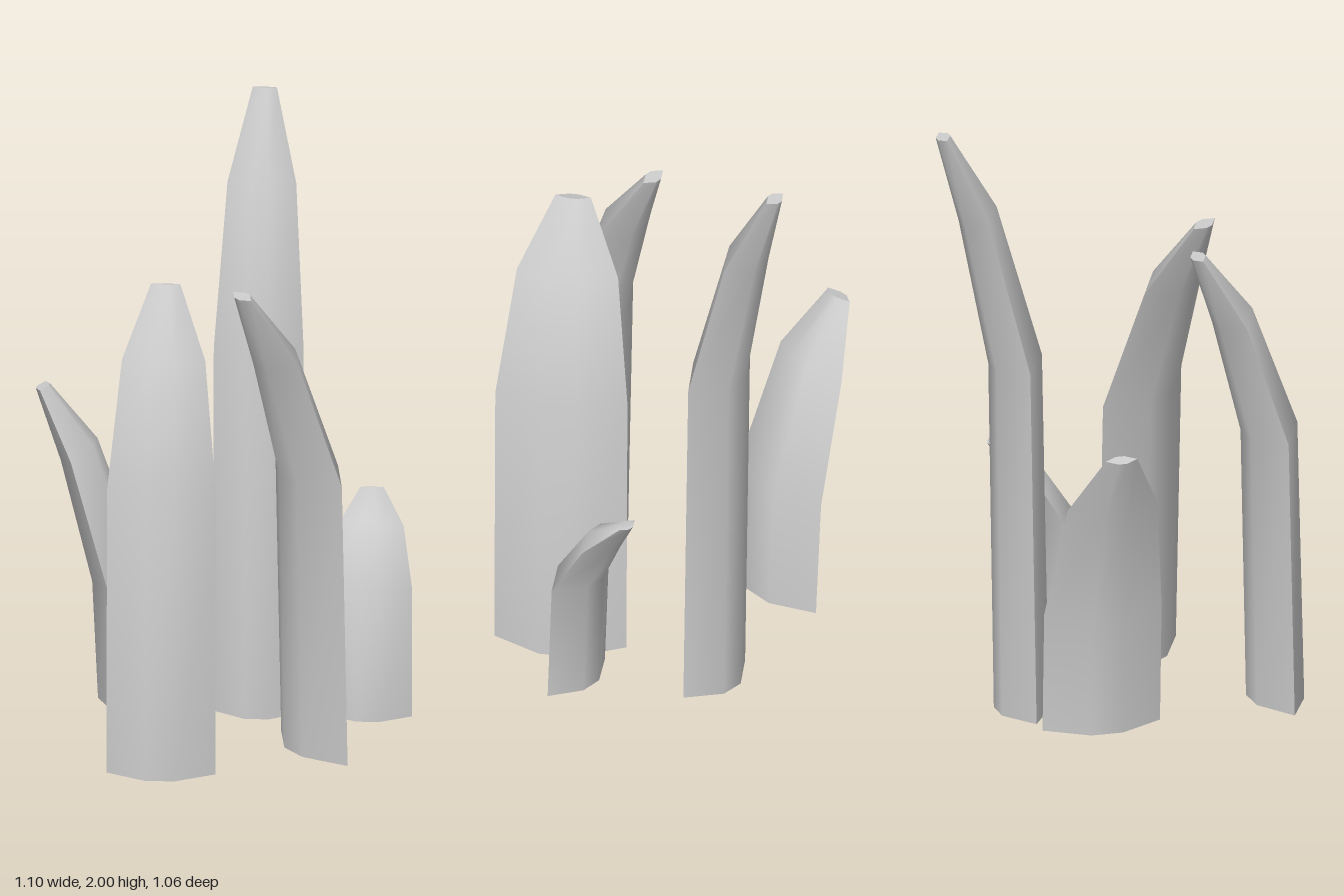
import * as THREE from 'three';
import { toCreasedNormals } from 'three/addons/utils/BufferGeometryUtils.js';

const TAPER = [1, 1, 0.765, 0.27]; // section size at base, knee, shoulder and tip
const LEAN = [0, 0.08, 0.557, 1]; // share of the reach at each section
const TILT = [0, 0.25, 0.5, 0.25]; // tipping of each section towards the bend

// Curved spike: six-sided lens sections lofted upwards, leaning towards local +x
function spikeGeometry({ height, width, thick, reach, levels = [0, 0.6, 0.857, 0.997] }) {
  const flat = width * 0.27;
  const section = [[thick, -flat], [thick, flat], [0, width], [-thick, flat], [-thick, -flat], [0, -width]];
  const n = section.length;
  const positions = [];
  const index = [];
  levels.forEach((level, i) => {
    for (const [x, z] of section) {
      const sx = x * TAPER[i];
      positions.push(
        LEAN[i] * reach + sx * Math.cos(TILT[i]),
        level * height - sx * Math.sin(TILT[i]),
        z * TAPER[i]
      );
    }
  });
  // sides
  for (let i = 0; i < levels.length - 1; i++) {
    for (let j = 0; j < n; j++) {
      const a = i * n + j;
      const b = i * n + (j + 1) % n;
      index.push(a, a + n, b, b, a + n, b + n);
    }
  }
  // base and tip caps
  const top = (levels.length - 1) * n;
  for (let j = 1; j < n - 1; j++) {
    index.push(0, j, j + 1, top, top + j + 1, top + j);
  }
  const geometry = new THREE.BufferGeometry();
  geometry.setAttribute('position', new THREE.Float32BufferAttribute(positions, 3));
  geometry.setIndex(index);
  return toCreasedNormals(geometry, 0.9);
}

export function createModel() {
  const model = new THREE.Group();
  model.name = 'spikeCluster';
  const material = new THREE.MeshStandardMaterial({ color: 0xcccccc });

  // base: centre of the foot; bend: direction of the lean in x and z
  const spikes = [
    { name: 'frontSpike', base: [0.147, 0.03, 0.32], bend: [-1, 0], height: 1.55, width: 0.212, thick: 0.077, reach: 0.264 },
    { name: 'frontRightSpike', base: [-0.405, 0.03, 0.305], bend: [0.545, -0.838], height: 1.55, width: 0.173, thick: 0.081, reach: 0.262 },
    { name: 'tallBackSpike', base: [0.232, 0, -0.187], bend: [0.565, -0.825], height: 2, width: 0.143, thick: 0.079, reach: 0.264 },
    { name: 'smallLeftSpike', base: [0.397, 0.075, 0.23], bend: [0.54, -0.84], height: 0.695, width: 0.137, thick: 0.064, reach: 0.215 },
    { name: 'backRightSpike', base: [-0.178, 0.085, -0.322], bend: [-0.765, -0.644], height: 1.015, width: 0.192, thick: 0.077, reach: 0.264, levels: [0, 0.4, 0.795, 0.997] },
  ];
  for (const spike of spikes) {
    const mesh = new THREE.Mesh(spikeGeometry(spike), material);
    mesh.name = spike.name;
    mesh.position.set(...spike.base);
    mesh.rotation.y = Math.atan2(-spike.bend[1], spike.bend[0]);
    model.add(mesh);
  }
  return model;
}
